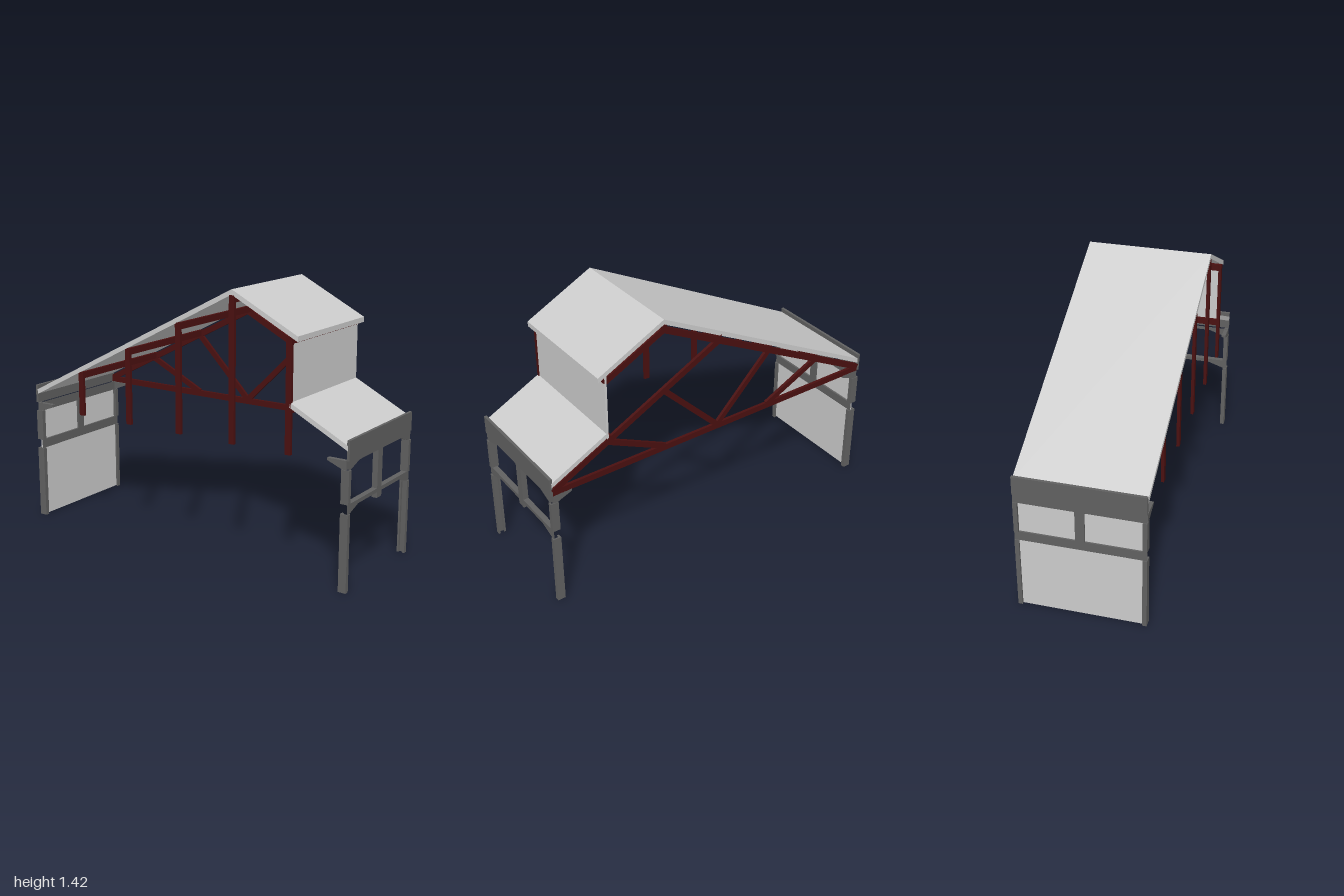
import * as THREE from 'three';

const HALF = 0.333;
const mat = (color) => new THREE.MeshStandardMaterial({ color, flatShading: true, side: THREE.FrontSide });
const sheet = mat(0xcccccc), steel = mat(0x606060), red = mat(0x4a1010);

const toShape = (pts) => new THREE.Shape(pts.map(([x, y]) => new THREE.Vector2(x, y)));

export function createModel() {
  const model = new THREE.Group();

  const add = (parent, name, geo, material) => {
    const mesh = new THREE.Mesh(geo, material);
    mesh.name = name;
    parent.add(mesh);
    return mesh;
  };
  // Box given by its limits on each axis
  const box = (parent, name, material, x0, x1, y0, y1, z0, z1) => {
    const geo = new THREE.BoxGeometry(Math.abs(x1 - x0), y1 - y0, z1 - z0);
    geo.translate((x0 + x1) / 2, (y0 + y1) / 2, (z0 + z1) / 2);
    return add(parent, name, geo, material);
  };
  // Outline in the xy plane, extruded from z0 to z1
  const prism = (parent, name, material, pts, z0, z1) => {
    const geo = new THREE.ExtrudeGeometry(toShape(pts), { depth: z1 - z0, bevelEnabled: false });
    geo.translate(0, 0, z0);
    return add(parent, name, geo, material);
  };

  // Roof sheets
  const roof = new THREE.Group();
  roof.name = 'roof';
  model.add(roof);
  const T = 0.027;
  const slope = (name, [xa, ya], [xb, yb]) =>
    prism(roof, name, sheet, [[xa, ya - T], [xb, yb - T], [xb, yb], [xa, ya]], -HALF, HALF);
  slope('longRoofSlope', [-0.99, 0.742], [0.33, 1.422]);
  slope('upperRoofSlope', [0.33, 1.422], [0.707, 1.23]);
  slope('lowerRoofSlope', [0.665, 0.907], [0.99, 0.742]);
  box(roof, 'clerestoryPanel', sheet, 0.66, 0.672, 0.87, 1.225, -HALF, 0.318);

  // Truss on the back plane
  const truss = new THREE.Group();
  truss.name = 'truss';
  model.add(truss);
  const member = (name, [xa, ya], [xb, yb], w = 0.033) => {
    const geo = new THREE.BoxGeometry(Math.hypot(xb - xa, yb - ya), w, 0.016);
    const m = add(truss, name, geo, red);
    m.position.set((xa + xb) / 2, (ya + yb) / 2, -HALF + 0.008);
    m.rotation.z = Math.atan2(yb - ya, xb - xa);
  };
  member('bottomChord', [-0.985, 0.682], [0.985, 0.682]);
  member('topChord', [-0.985, 0.69], [0.335, 1.368]);
  member('upperChord', [0.325, 1.368], [0.665, 1.196]);
  member('lowerChord', [0, 1.193], [0.985, 0.69]);
  member('diagonal', [-0.66, 0.85], [-0.33, 0.69], 0.03);
  member('diagonal', [-0.33, 1.025], [0, 0.69], 0.03);
  member('diagonal', [0, 0.69], [0.33, 1.02], 0.03);
  member('diagonal', [0.33, 0.69], [0.66, 0.85], 0.03);

  // Hanging posts on the front plane, each with a purlin running back
  const posts = [[-0.66, 0.885], [-0.33, 1.055], [0, 1.225], [0.33, 1.392], [0.66, 1.225]];
  for (const [x, top] of posts) {
    box(truss, 'post', red, x - 0.016, x + 0.016, 0.64, top, HALF - 0.016, HALF);
    box(truss, 'purlin', red, x - 0.016, x + 0.016, top - 0.035, top, -HALF, HALF - 0.016);
  }
  box(truss, 'lowerPurlin', red, 0.644, 0.676, 0.85, 0.885, -HALF, HALF - 0.016);

  // Window frame; h is the rise of the haunches over the openings
  const windowFrame = (h) => {
    const c = 0.31, k = 0.22, m = 0.024, y = 0.40;
    const right = [[m, y], [m, y + h], [k, y + h], [c, y], [HALF, y], [HALF, 0.67]];
    const left = right.map(([u, v]) => [-u, v]).reverse();
    const shape = toShape(h ? [...right, ...left]
      : [[-HALF, y], [HALF, y], [HALF, 0.67], [-HALF, 0.67]]);
    for (const s of [1, -1]) {
      const hole = [[m, 0.45], [c, 0.45], [c, 0.62], [k, 0.62 + h], [m, 0.62 + h]];
      shape.holes.push(toShape(hole.map(([u, v]) => [u * s, v])));
    }
    const geo = new THREE.ExtrudeGeometry(shape, { depth: 0.03, bevelEnabled: false });
    geo.rotateY(Math.PI / 2);
    // Leave the frame open at both ends, where the next bay joins
    const p = geo.attributes.position, keep = [];
    for (let i = 0; i < p.count; i += 3) {
      const atEnd = [0, 1, 2].every((j) => Math.abs(p.getZ(i + j)) > HALF - 0.001);
      if (!atEnd) keep.push(i, i + 1, i + 2);
    }
    geo.setIndex(keep);
    geo.clearGroups();
    return geo;
  };

  // Side walls
  for (const s of [-1, 1]) {
    const wall = new THREE.Group();
    wall.name = s > 0 ? 'leftWall' : 'rightWall';
    model.add(wall);
    const bx = (name, material, xa, xb, ...r) => box(wall, name, material, s * xa, s * xb, ...r);

    bx('fascia', steel, 0.985, 1, 0.667, 0.768, -HALF, HALF);
    add(wall, 'windowFrame', windowFrame(s > 0 ? 0.03 : 0), steel)
      .position.x = s > 0 ? 0.965 : -0.995;

    for (const e of [-1, 1]) {
      const z0 = e > 0 ? 0.31 : -HALF, z1 = e > 0 ? HALF : -0.31;
      // Column: two flanges joined by a web, interrupted by the rails
      for (const [y0, y1] of [[0, 0.40], [0.45, 0.62]]) {
        bx('columnOuterFlange', steel, 0.99, 1, y0, y1, z0, z1);
        bx('columnInnerFlange', steel, 0.957, 0.967, y0, y1, z0, z1);
        const w0 = e > 0 ? HALF - 0.008 : -HALF;
        bx('columnWeb', steel, 0.967, 0.99, y0, y1, w0, w0 + 0.008);
      }
      // Haunch carrying the truss end
      const pts = [[0.88, 0.667], [0.88, 0.655], [0.962, 0.622], [0.985, 0.622], [0.985, 0.667]];
      prism(wall, 'haunch', steel, pts.map(([x, y]) => [x * s, y]), z0, z1);
    }
    // Cladding closes one side only
    if (s < 0) bx('wallPanel', sheet, 0.976, 0.986, 0, 0.625, -0.32, 0.32);
  }
  return model;
}
